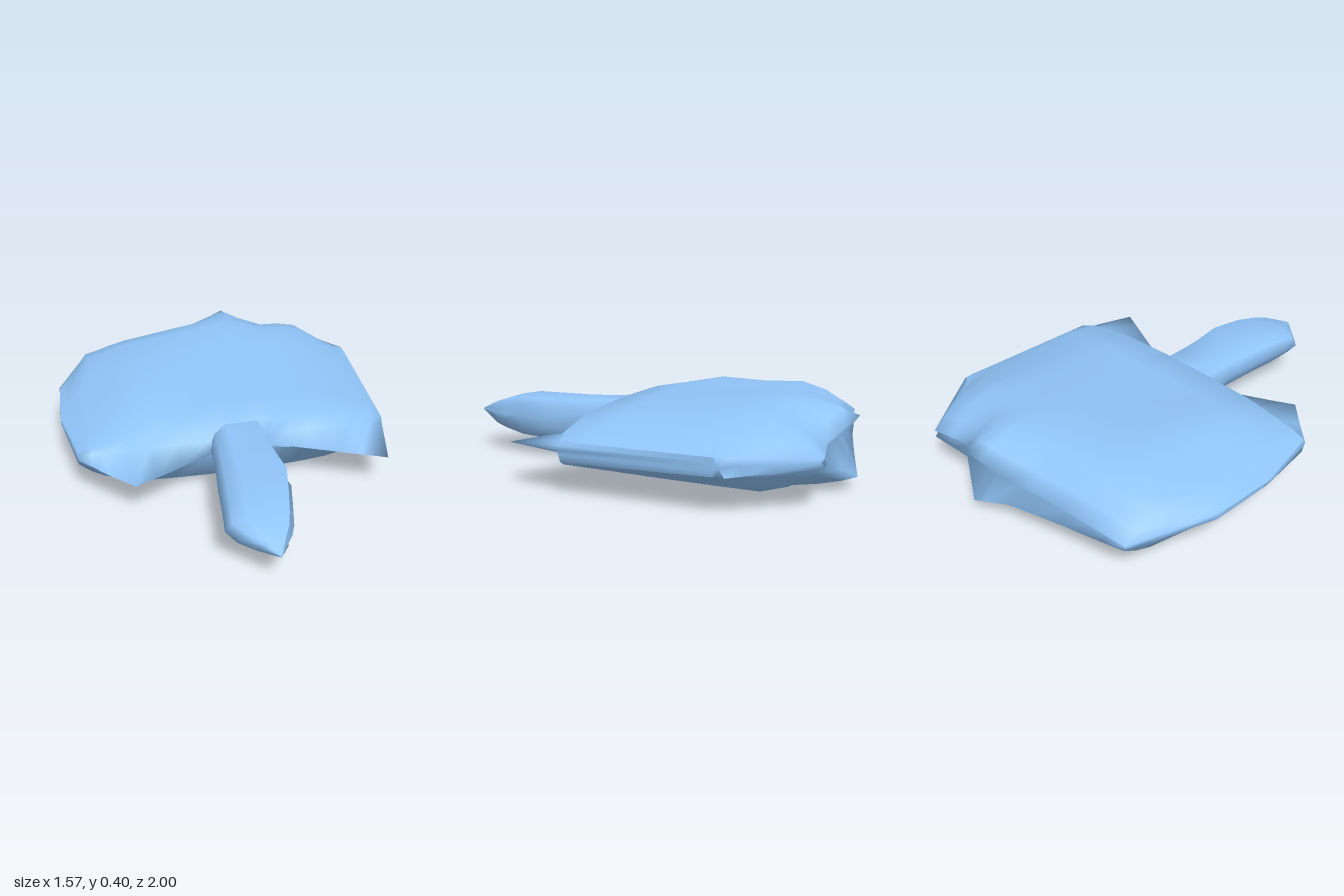
import * as THREE from 'three';

// Piecewise linear lookup through [position, value] pairs
function lerpTable(table, p) {
  if (p <= table[0][0]) return table[0][1];
  for (let i = 1; i < table.length; i++) {
    const [p0, v0] = table[i - 1], [p1, v1] = table[i];
    if (p <= p1) return v0 + ((v1 - v0) * (p - p0)) / (p1 - p0);
  }
  return table[table.length - 1][1];
}

// Skin over closed rings of points, capped at both ends
function loft(rings) {
  const n = rings[0].length, pos = [], index = [];
  rings.forEach((r) => r.forEach((p) => pos.push(...p)));
  for (let i = 0; i < rings.length - 1; i++) {
    for (let j = 0; j < n; j++) {
      const k = (j + 1) % n;
      const a = i * n + j, b = i * n + k, c = a + n, d = b + n;
      index.push(a, b, c, b, d, c);
    }
  }
  [0, rings.length - 1].forEach((r) => {
    const mid = [0, 1, 2].map((k) => rings[r].reduce((s, p) => s + p[k], 0) / n);
    const m = pos.length / 3;
    pos.push(...mid);
    for (let j = 0; j < n; j++) {
      const a = r * n + j, b = r * n + ((j + 1) % n);
      if (r) index.push(m, a, b);
      else index.push(m, b, a);
    }
  });
  const g = new THREE.BufferGeometry();
  g.setAttribute('position', new THREE.Float32BufferAttribute(pos, 3));
  g.setIndex(index);
  g.computeVertexNormals();
  return g;
}

// Plan outline of the flat body: back and front edge z at each x
const backEdge = [[-0.785, -0.2], [-0.77, -0.47], [-0.61, -0.84], [-0.28, -0.89], [0, -0.95],
  [0.19, -1], [0.36, -0.9], [0.56, -0.93], [0.785, -0.59]];
const frontEdge = [[-0.785, -0.13], [-0.73, 0.18], [-0.5, 0.41], [-0.12, 0.23], [0, 0.2], [0.13, 0.19],
  [0.67, 0.435], [0.74, 0.17], [0.785, -0.52]];
// Height above and depth below the middle along z, and their falloff across x
const rise = [[-0.63, 0.203], [-0.15, 0.15], [0.17, 0.12]];
const drop = [[-0.63, 0.2], [-0.15, 0.18], [0.17, 0.158]];
const falloff = [[-0.785, 0.05], [-0.65, 0.53], [-0.44, 0.9], [-0.2, 0.97], [0.1, 1], [0.44, 0.88],
  [0.65, 0.55], [0.785, 0.2]];
// Half thickness of the back rim: thin, with one flared beak
const rim = [[-0.785, 0.01], [-0.61, 0.012], [-0.28, 0.05], [0, 0.075], [0.19, 0.135], [0.36, 0.04],
  [0.56, 0.018], [0.785, 0.04]];
const middle = [[-0.785, 0.235], [-0.6, 0.205], [-0.4, 0.2], [0.785, 0.2]];
// Low hump on the right of the upper surface
const hump = (x, z) => 0.045 * Math.exp(-(((x + 0.42) / 0.2) ** 2) - ((z + 0.17) / 0.2) ** 2);

function bodyRing(x) {
  const back = lerpTable(backEdge, x), front = lerpTable(frontEdge, x);
  const y = lerpTable(middle, x), ridge = Math.min(0.17, front - 0.02);
  const edge = lerpTable(rim, x), across = lerpTable(falloff, x);
  const half = (table, z) => {
    const k = Math.min(1, (z - back) / 0.3);
    return edge + (lerpTable(table, z) * across - edge) * k * (2 - k);
  };
  const top = [], bottom = [];
  for (const t of [0, 0.06, 0.14, 0.25, 0.42, 0.65, 0.85, 1]) {
    const z = back + (ridge - back) * t;
    top.push([x, y + half(rise, z) + hump(x, z) * across, z]);
    bottom.unshift([x, y - half(drop, z), z]);
  }
  // steep front wall with a thin lip, and a groove sunk into the back rim
  const lip = Math.min(0.04, half(rise, ridge) * 0.5);
  const groove = Math.min(edge * 0.8, (ridge - back) * 0.2);
  return [...top, [x, y + lip, ridge + 0.008], [x, y, front], [x, y - lip, ridge + 0.008],
    ...bottom, [x, y, back + groove]];
}

// Stem cross-section: flat top and bottom, ridge along one side
const stemSection = [[1, 0], [0.78, 0.5], [0.85, 1], [-0.4, 1], [-0.8, 0.7], [-1, 0.2],
  [-0.65, -0.7], [-0.4, -1], [0.85, -1], [0.78, -0.5]];

function stemRing([z, left, right, low, high]) {
  return stemSection.map(([u, v]) => [
    (left + right) / 2 + (u * (right - left)) / 2,
    (low + high) / 2 + (v * (high - low)) / 2,
    z,
  ]);
}

export function createModel() {
  const group = new THREE.Group();
  const material = new THREE.MeshStandardMaterial({ color: 0x90c4f8, side: THREE.DoubleSide });
  const add = (name, geometry) => {
    const mesh = new THREE.Mesh(geometry, material);
    mesh.name = name;
    group.add(mesh);
  };

  // Broad flattened body with two forward lobes
  const columns = [-0.785, -0.77, -0.73, -0.67, -0.61, -0.5, -0.4, -0.28, -0.12, 0, 0.13, 0.19,
    0.27, 0.36, 0.46, 0.56, 0.67, 0.74, 0.785];
  add('body', loft(columns.map(bodyRing)));

  // Narrow stem: z, left x, right x, bottom y, top y
  const stem = [
    [0, -0.11, 0.11, 0.05, 0.32],
    [0.17, -0.12, 0.13, 0.035, 0.317],
    [0.25, -0.125, 0.135, 0.065, 0.31],
    [0.37, -0.135, 0.145, 0.1, 0.304],
    [0.55, -0.16, 0.17, 0.104, 0.302],
    [0.7, -0.175, 0.135, 0.108, 0.298],
    [0.82, -0.19, 0.105, 0.13, 0.275],
    [0.88, -0.13, 0.08, 0.145, 0.255],
    [0.94, -0.065, 0.04, 0.17, 0.23],
    [1, -0.002, 0.002, 0.198, 0.202],
  ];
  add('stem', loft(stem.map(stemRing)));
  return group;
}
